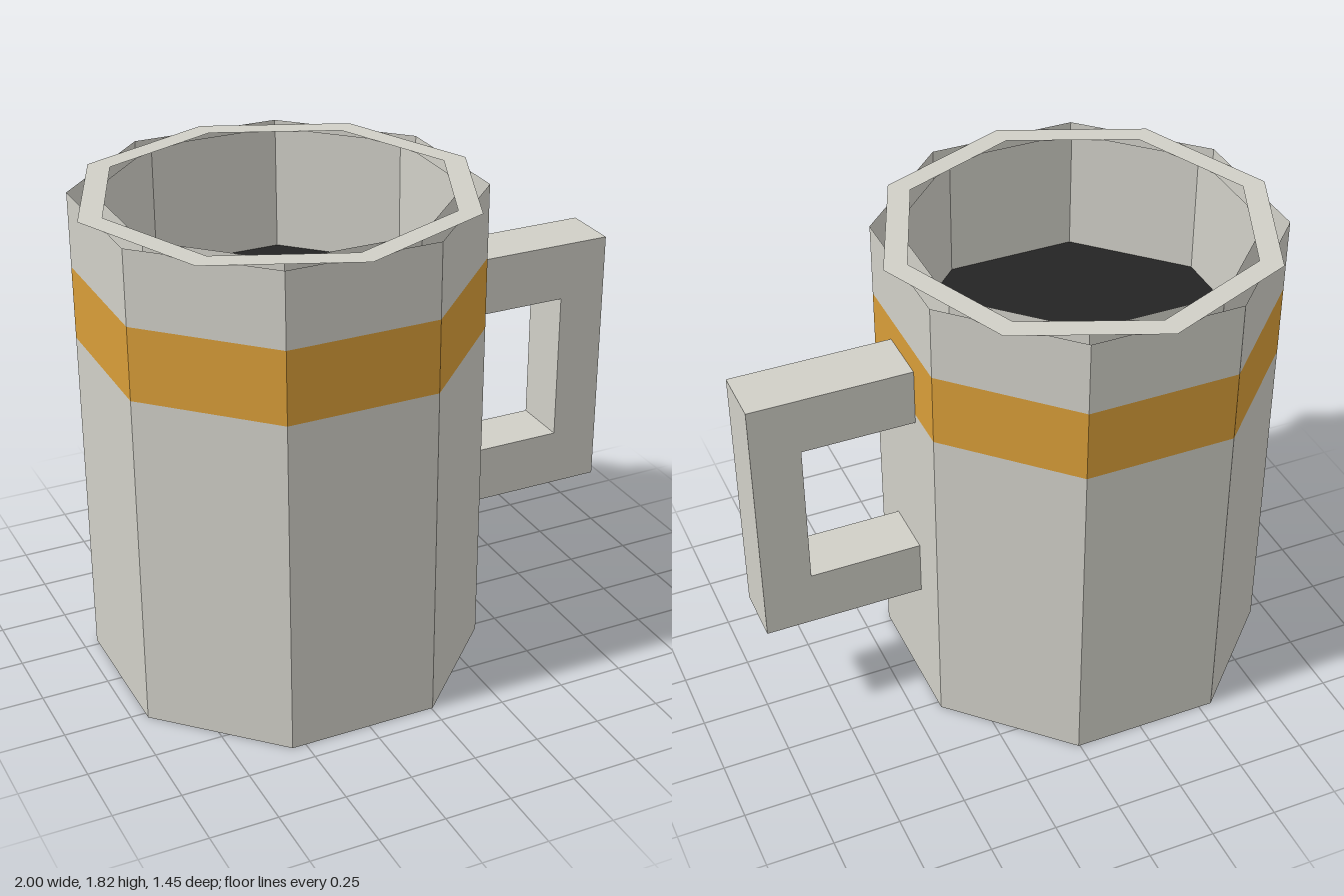
import * as THREE from 'three';

const CENTRE_X = -0.273, OUTER = 0.727, INNER = 0.64, TOP = 1.82, LIQUID_Y = 1.35;
const PHASE = Math.PI / 8; // turns a flat side of the octagon to each axis

function material(name, color) {
  const m = new THREE.MeshStandardMaterial({ color, flatShading: true, side: THREE.DoubleSide });
  m.name = name;
  return m;
}

export function createModel() {
  const stone = material('stone grey', 0xd0cfc7);
  const gold = material('gold', 0xd89d38);
  const dark = material('dark liquid', 0x242424);

  const model = new THREE.Group();
  model.name = 'mug';
  const add = (name, geometry, mat, x = 0, y = 0) => {
    const mesh = new THREE.Mesh(geometry, mat);
    mesh.name = name;
    mesh.position.set(x, y, 0);
    model.add(mesh);
  };

  // Open eight-sided wall between two heights
  const wall = (name, radius, y0, y1, mat) => add(name,
    new THREE.CylinderGeometry(radius, radius, y1 - y0, 8, 1, true, PHASE),
    mat, CENTRE_X, (y0 + y1) / 2);

  // Outside of the mug, with a flush coloured band; the underside is open
  wall('lowerBody', OUTER, 0, 1.275, stone);
  wall('band', OUTER, 1.275, 1.545, gold);
  wall('upperBody', OUTER, 1.545, TOP, stone);

  // Inside wall and drink
  wall('innerWall', INNER, LIQUID_Y, TOP, stone);
  add('liquid', new THREE.CircleGeometry(INNER, 8, PHASE).rotateX(-Math.PI / 2), dark, CENTRE_X, LIQUID_Y);

  // Flat rim, turned so its corners lie over the flat sides
  add('rim', new THREE.RingGeometry(INNER, OUTER, 8).rotateX(-Math.PI / 2), stone, CENTRE_X, TOP);

  // Square C-shaped handle
  const outline = [
    [0.398, 0.46], [1, 0.46], [1, 1.457], [0.398, 1.457],
    [0.398, 1.24], [0.818, 1.24], [0.818, 0.675], [0.398, 0.675],
  ].map(([x, y]) => new THREE.Vector2(x, y));
  const handle = new THREE.ExtrudeGeometry(new THREE.Shape(outline), { depth: 0.216, bevelEnabled: false });
  add('handle', handle.translate(0, 0, -0.108), stone);

  return model;
}
